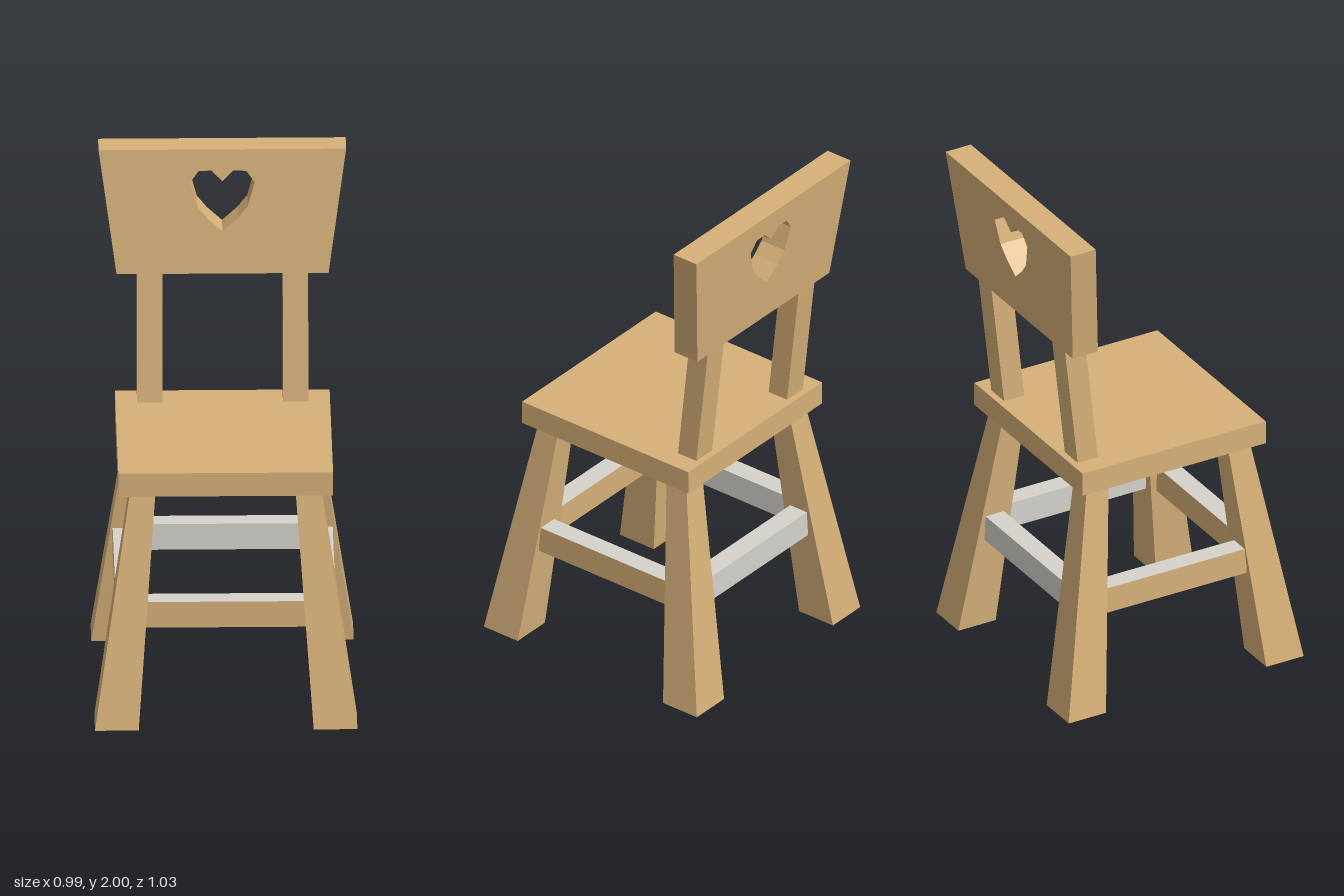
import * as THREE from 'three';

export function createModel() {
  const chair = new THREE.Group();
  chair.name = 'chair';

  const wood = new THREE.MeshStandardMaterial({ color: 0xd6b078 });
  wood.name = 'wood';
  const pale = new THREE.MeshStandardMaterial({ color: 0xd4d2cb });
  pale.name = 'pale grey';

  const add = (name, geometry, material = wood) => {
    const mesh = new THREE.Mesh(geometry, material);
    mesh.name = name;
    chair.add(mesh);
    return mesh;
  };

  // Box whose bottom and top rectangles differ: [x0, x1, z0, z1] at each height
  const taperedBox = (y0, bottom, y1, top) => {
    const g = new THREE.BoxGeometry(1, 1, 1);
    const p = g.attributes.position;
    for (let i = 0; i < p.count; i++) {
      const upper = p.getY(i) > 0;
      const r = upper ? top : bottom;
      p.setXYZ(i, r[p.getX(i) > 0 ? 1 : 0], upper ? y1 : y0, r[p.getZ(i) > 0 ? 3 : 2]);
    }
    g.computeVertexNormals();
    return g;
  };
  // Orders a mirrored pair of limits
  const span = (s, a, b) => (s > 0 ? [a, b] : [-b, -a]);

  // Seat
  add('seat', new THREE.BoxGeometry(0.81, 0.095, 0.8)).position.y = 0.9575;

  for (const sx of [1, -1]) {
    const side = sx > 0 ? 'left' : 'right';

    // Splayed legs, thicker at the floor
    for (const sz of [1, -1]) {
      add(side + (sz > 0 ? 'FrontLeg' : 'BackLeg'), taperedBox(
        0, [...span(sx, 0.33, 0.495), ...span(sz, 0.35, 0.513)],
        0.912, [...span(sx, 0.264, 0.36), ...span(sz, 0.26, 0.355)]));
    }

    // Leaning posts carrying the backrest
    add(side + 'BackPost', taperedBox(
      1.0, [...span(sx, 0.227, 0.323), -0.373, -0.285],
      1.52, [...span(sx, 0.227, 0.323), -0.431, -0.341]));

    // Side stretcher: only the outer face is wood coloured
    const faces = sx > 0
      ? [wood, pale, pale, pale, pale, pale]
      : [pale, wood, pale, pale, pale, pale];
    add(side + 'Stretcher', new THREE.BoxGeometry(0.08, 0.105, 0.62), faces)
      .position.set(sx * 0.375, 0.432, 0);
  }

  // Front stretcher has wood faces front and rear, the back one is all pale
  add('frontStretcher', new THREE.BoxGeometry(0.62, 0.105, 0.08),
    [pale, pale, pale, pale, wood, wood]).position.set(0, 0.432, 0.375);
  add('backStretcher', new THREE.BoxGeometry(0.62, 0.105, 0.08), pale)
    .position.set(0, 0.432, -0.375);

  // Backrest: flared board with a heart cut-out, sheared to lean backwards
  const board = new THREE.Shape([
    [-0.4, 1.512], [0.4, 1.512], [0.467, 2], [-0.467, 2],
  ].map(([x, y]) => new THREE.Vector2(x, y)));
  const half = [[0.042, 1.917], [0.09, 1.915], [0.122, 1.87], [0.095, 1.775], [0.058, 1.73]];
  const heart = [
    [0, 1.875], ...half, [0, 1.678],
    ...half.map(([x, y]) => [-x, y]).reverse(),
  ];
  board.holes.push(new THREE.Path(heart.map(([x, y]) => new THREE.Vector2(x, y))));
  const back = new THREE.ExtrudeGeometry(board, { depth: 0.11, bevelEnabled: false });
  const p = back.attributes.position;
  for (let i = 0; i < p.count; i++) {
    p.setZ(i, p.getZ(i) - 0.44 - (p.getY(i) - 1.512) * 0.1);
  }
  back.computeVertexNormals();
  add('backrest', back);

  return chair;
}
